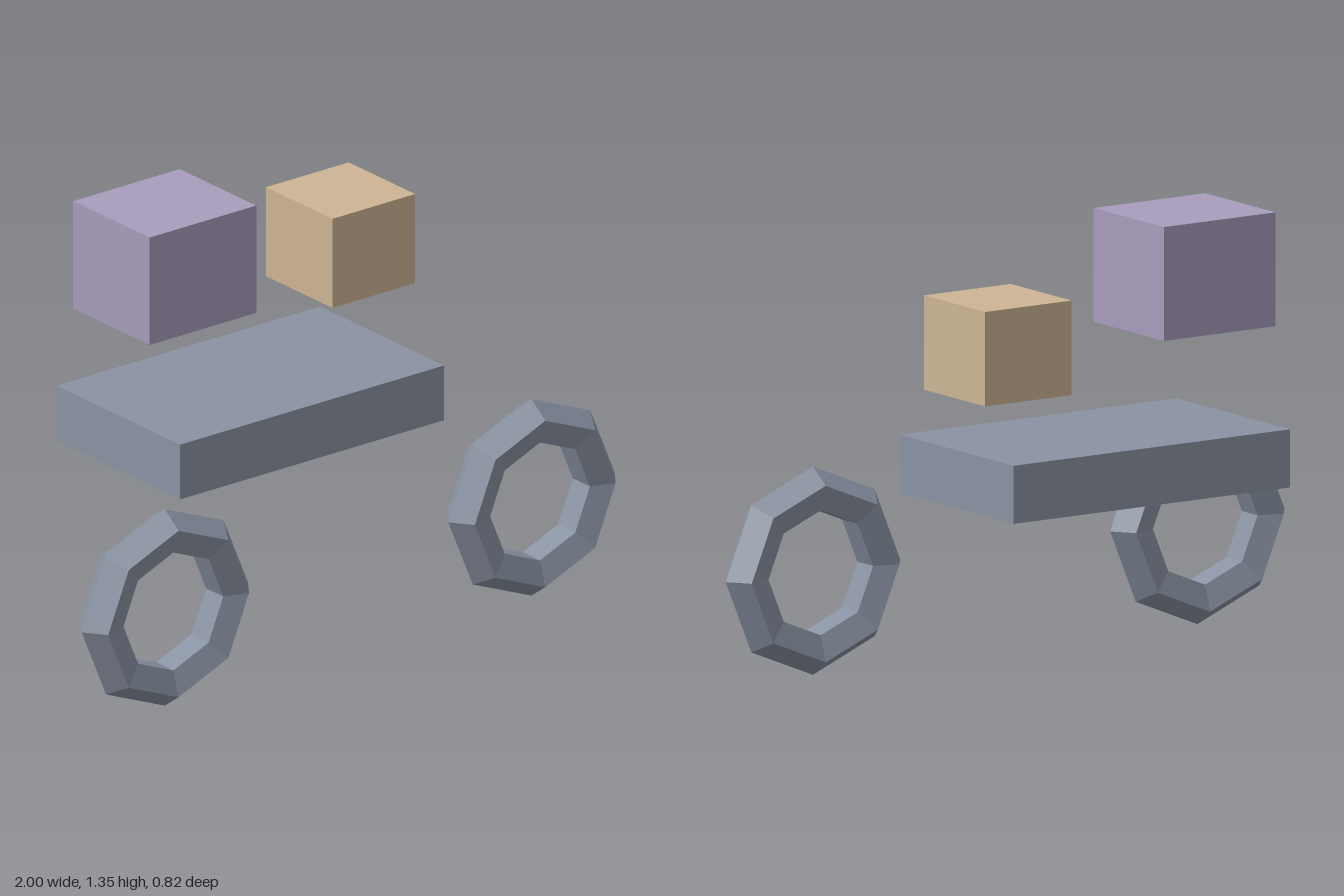
import * as THREE from 'three';

const paint = (color) => new THREE.MeshStandardMaterial({ color, flatShading: true });

export function createModel() {
  const model = new THREE.Group();
  const slate = paint(0x8a93a3);

  // Box given by its lowest and highest corners
  const block = (name, min, max, material) => {
    const box = new THREE.Box3(new THREE.Vector3(...min), new THREE.Vector3(...max));
    const size = box.getSize(new THREE.Vector3());
    const mesh = new THREE.Mesh(new THREE.BoxGeometry(size.x, size.y, size.z), material);
    box.getCenter(mesh.position);
    mesh.name = name;
    model.add(mesh);
  };

  // Flat platform with two crates floating above it
  block('platform', [-0.495, 0.553, -0.411], [0.495, 0.727, 0.175], slate);
  block('largeCrate', [-0.521, 1.015, -0.298], [-0.121, 1.356, 0.064], paint(0xa89cbc));
  block('smallCrate', [0.249, 0.903, -0.356], [0.559, 1.186, -0.042], paint(0xcdb594));

  // Pair of eight-sided rings with a five-sided section
  const ring = new THREE.TorusGeometry(0.243, 0.069, 5, 8);
  for (const side of [1, -1]) {
    const wheel = new THREE.Mesh(ring, slate);
    wheel.name = side > 0 ? 'leftWheel' : 'rightWheel';
    wheel.position.set(side * 0.688, 0.314, 0.346);
    model.add(wheel);
  }

  return model;
}
